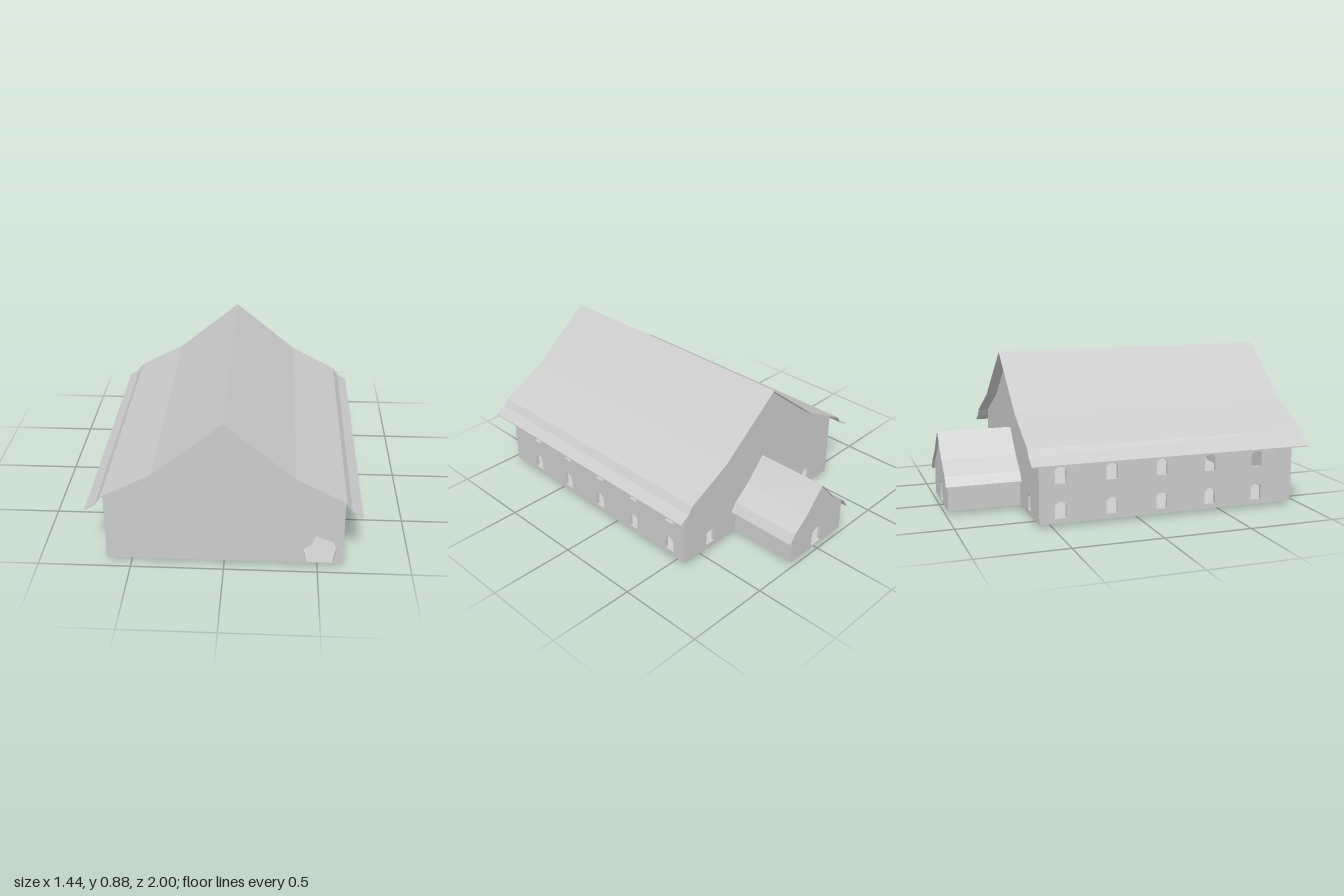
import * as THREE from 'three';

const grey = new THREE.MeshStandardMaterial({ color: 0xcccccc, side: THREE.DoubleSide, flatShading: true });
const T = 0.02; // wall thickness

const toShape = (pts) => new THREE.Shape(pts.map(([x, y]) => new THREE.Vector2(x, y)));

function extrude(name, shape, depth) {
  const mesh = new THREE.Mesh(new THREE.ExtrudeGeometry(shape, { depth, bevelEnabled: false }), grey);
  mesh.name = name;
  return mesh;
}

function box(name, w, h, d, x, y, z) {
  const mesh = new THREE.Mesh(new THREE.BoxGeometry(w, h, d), grey);
  mesh.name = name;
  mesh.position.set(x, y, z);
  return mesh;
}

// Opening with a faceted arched head, centred on cx
function archedOpening(cx, y, w, h) {
  const a = w / 2, s = y + h;
  return toShape([[cx - a, y], [cx + a, y], [cx + a, s - 0.018], [cx + a * 0.55, s - 0.005], [cx, s],
    [cx - a * 0.55, s - 0.005], [cx - a, s - 0.018]]);
}

// Thin roof skin from half a profile running ridge to eave
function roof(name, half, thickness, z0, z1) {
  const mirror = half.slice(1).reverse().map(([x, y]) => [-x, y]);
  const top = [...mirror, ...half];
  const under = top.map(([x, y]) => [x, y - thickness]).reverse();
  const mesh = extrude(name, toShape([...top, ...under]), z1 - z0);
  mesh.position.z = z0;
  return mesh;
}

// Gable wall that follows the roof down to the wall top
function gable(name, half, base, z, openings) {
  const drop = 0.004;
  const right = half.map(([x, y]) => [x, y - drop]);
  const left = half.slice(1).reverse().map(([x, y]) => [-x, y - drop]);
  const w = half[half.length - 1][0];
  const shape = toShape([[-w, base], ...left, ...right, [w, base]]);
  shape.holes.push(...openings);
  const mesh = extrude(name, shape, T);
  mesh.position.z = z;
  return mesh;
}

// Long wall drawn in (z, y), extruded along x
function sideWall(name, xOuter, z0, z1, y0, y1, openings) {
  const shape = toShape([[z0, y0], [z1, y0], [z1, y1], [z0, y1]]);
  shape.holes.push(...openings);
  const mesh = extrude(name, shape, T);
  mesh.rotation.y = -Math.PI / 2;
  mesh.position.x = xOuter > 0 ? xOuter : xOuter + T;
  return mesh;
}

function createHall() {
  const hall = new THREE.Group();
  hall.name = 'mainHall';
  const profile = [[0, 0.885], [0.37, 0.582], [0.635, 0.443], [0.665, 0.4], [0.722, 0.365]];
  const wallLine = profile.slice(0, 3);
  const zs = [0.72, 0.428, 0.135, -0.158, -0.45];

  // Ragged breach in the front wall
  const breach = toShape([[0.44, 0.03], [0.582, 0.03], [0.6, 0.11], [0.585, 0.16], [0.535, 0.178],
    [0.485, 0.197], [0.468, 0.145], [0.422, 0.11]]);
  hall.add(gable('frontWall', wallLine, 0.022, 0.945 - T, [breach]));
  hall.add(gable('backWall', wallLine, 0.022, -0.57,
    [-1, 1].map((s) => archedOpening(s * 0.43, 0.05, 0.065, 0.092))));

  // Side walls with two rows of windows
  for (const s of [1, -1]) {
    const windows = zs.flatMap((z) => [archedOpening(z, 0.05, 0.064, 0.092), archedOpening(z, 0.243, 0.064, 0.092)]);
    hall.add(sideWall(s > 0 ? 'leftWall' : 'rightWall', s * 0.635, -0.57, 0.945, 0.022, 0.438, windows));
  }
  hall.add(box('hallFloor', 1.27, 0.008, 1.515, 0, 0.026, 0.1875));
  hall.add(roof('hallRoof', profile, 0.006, -0.63, 1));
  return hall;
}

function createInterior() {
  const inside = new THREE.Group();
  inside.name = 'interior';
  // Raised room at the back
  inside.add(box('loftFloor', 1.0, 0.012, 0.41, 0, 0.205, -0.345));
  inside.add(box('loftPartition', 0.02, 0.16, 0.4, 0, 0.285, -0.34));
  // Plank screen behind the breach
  for (let i = 0; i < 7; i++) {
    inside.add(box('plank', 0.012, 0.11, 0.01, 0.43 + i * 0.026, 0.085, -0.25));
  }
  for (let i = 0; i < 3; i++) {
    inside.add(box('penPost', 0.012, 0.08, 0.007, 0.42, 0.07, 0.705 + i * 0.016));
  }
  // Short flight of steps
  for (let i = 0; i < 5; i++) {
    inside.add(box('step', 0.045, 0.006, 0.02, 0.49, 0.04 + i * 0.013, -0.14 - i * 0.02));
  }
  // Bent scrap that pokes through the floor
  const scrap = new THREE.BufferGeometry();
  const p = [[0.255, 0.024, 0.11], [0.355, 0.005, 0.09], [0.34, 0.022, 0.06], [0.32, 0.022, 0.155]];
  scrap.setAttribute('position', new THREE.Float32BufferAttribute([p[0], p[2], p[1], p[0], p[1], p[3]].flat(2), 3));
  scrap.computeVertexNormals();
  const mesh = new THREE.Mesh(scrap, grey);
  mesh.name = 'floorScrap';
  inside.add(mesh);
  return inside;
}

function createPorch() {
  const porch = new THREE.Group();
  porch.name = 'rearPorch';
  const profile = [[0, 0.44], [0.125, 0.3], [0.22, 0.225], [0.255, 0.172]];
  porch.add(gable('porchBackWall', profile.slice(0, 3), 0.024, -0.985, [archedOpening(0, 0.035, 0.08, 0.11)]));
  for (const s of [1, -1]) {
    porch.add(sideWall(s > 0 ? 'porchLeftWall' : 'porchRightWall', s * 0.22, -0.985, -0.57, 0.024, 0.221, []));
  }
  porch.add(box('porchFloor', 0.44, 0.008, 0.415, 0, 0.028, -0.7775));
  porch.add(roof('porchRoof', profile, 0.006, -1, -0.57));
  return porch;
}

export function createModel() {
  const model = new THREE.Group();
  model.name = 'gabledHall';
  model.add(createHall(), createInterior(), createPorch());
  return model;
}
